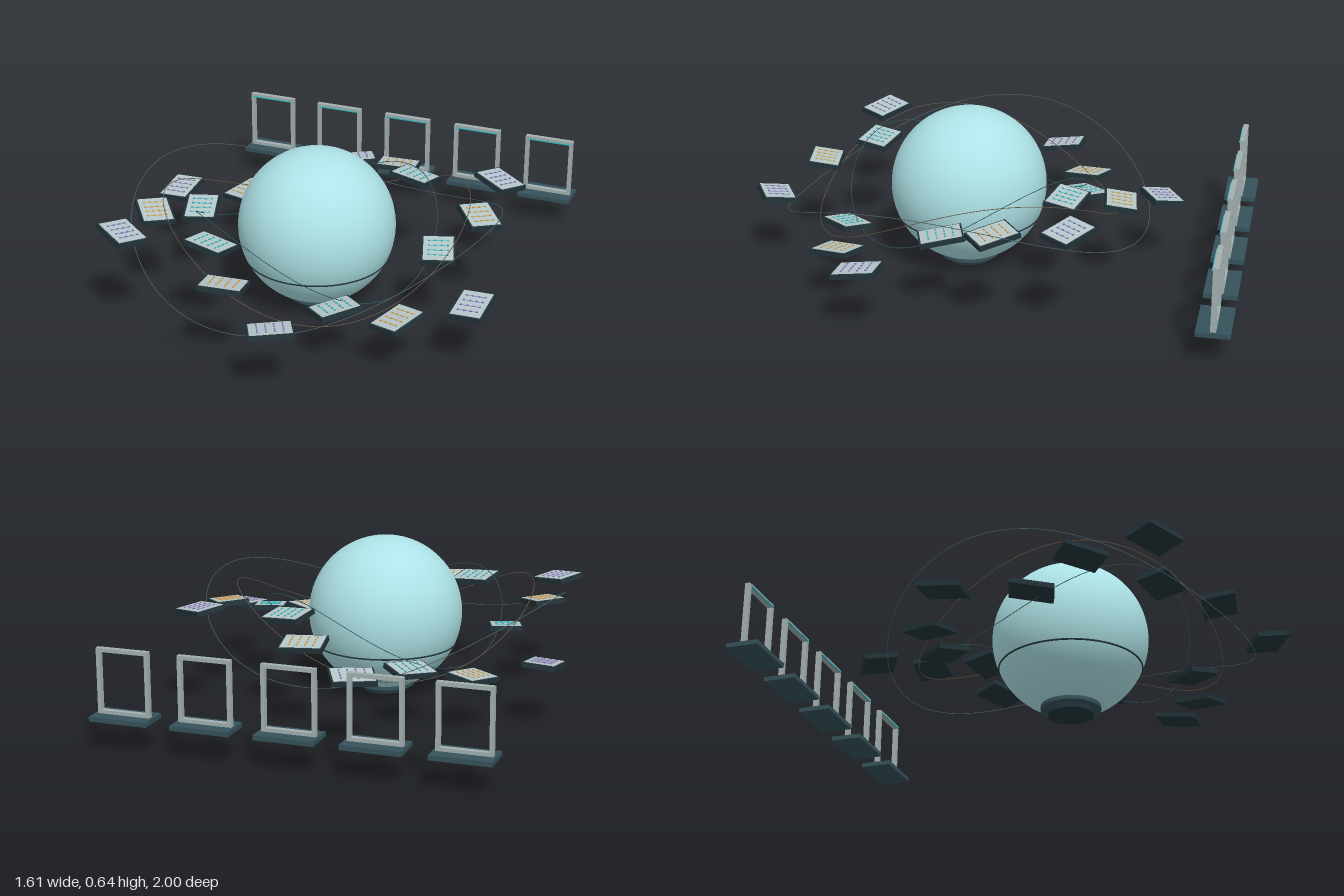
import * as THREE from 'three';

const CENTRE_Z = 0.125;
const rad = THREE.MathUtils.degToRad;
const mat = (color) => new THREE.MeshStandardMaterial({ color });

const dark = mat(0x22343a);
const slate = mat(0x35525a);
const metal = mat(0xa3b0b0);
const plate = mat(0xb4c6c8);
const glass = mat(0xade2e6);
const cyan = mat(0x2fb5bd);
const orange = mat(0xd79a3c);
const purple = mat(0x8a6fc0);

function add(parent, name, geometry, material, x = 0, y = 0, z = 0) {
  const mesh = new THREE.Mesh(geometry, material);
  mesh.name = name;
  mesh.position.set(x, y, z);
  parent.add(mesh);
  return mesh;
}

const box = (w, h, d) => new THREE.BoxGeometry(w, h, d);

// Central globe on a stepped foot, with a thin belt below its equator
function createGlobe() {
  const globe = new THREE.Group();
  globe.name = 'globe';
  add(globe, 'sphere', new THREE.SphereGeometry(0.314, 64, 40), glass, 0, 0.328, 0);
  add(globe, 'lowerFoot', new THREE.CylinderGeometry(0.092, 0.092, 0.018, 48), dark, 0, 0.009, 0);
  add(globe, 'upperFoot', new THREE.CylinderGeometry(0.12, 0.12, 0.016, 48), slate, 0, 0.03, 0);
  add(globe, 'belt', new THREE.TorusGeometry(0.287, 0.0035, 6, 96), dark, 0, 0.2, 0).rotation.x = Math.PI / 2;
  globe.position.z = CENTRE_Z;
  return globe;
}

// Thin orbit line, rising and dipping twice per turn
function createOrbit(radius, peak, material) {
  const points = [];
  for (let i = 0; i < 72; i++) {
    const a = (i / 72) * Math.PI * 2;
    const y = 0.33 + 0.13 * Math.cos(2 * (a - rad(peak)));
    points.push(new THREE.Vector3(radius * Math.cos(a), y, radius * Math.sin(a)));
  }
  const curve = new THREE.CatmullRomCurve3(points, true);
  const orbit = new THREE.Mesh(new THREE.TubeGeometry(curve, 180, 0.0015, 5, true), material);
  orbit.name = 'orbitLine';
  orbit.position.z = CENTRE_Z;
  return orbit;
}

// Floating tablet: dark tray, pale plate, rows of coloured marks
function createTablet(accent) {
  const tablet = new THREE.Group();
  tablet.name = 'tablet';
  add(tablet, 'tray', box(0.172, 0.02, 0.132), dark);
  add(tablet, 'plate', box(0.158, 0.006, 0.118), plate, 0, 0.009, 0);
  for (let row = 0; row < 4; row++) {
    const x = (row - 1.5) * 0.032;
    add(tablet, 'markLine', box(0.0015, 0.002, 0.08), accent, x, 0.0125, 0);
    for (let i = 0; i < 4; i++) {
      add(tablet, 'mark', box(0.006, 0.004, 0.007), accent, x, 0.0135, (i - 1.5) * 0.025);
    }
  }
  return tablet;
}

// Six tablets around the globe, following a double wave and leaning with it
function createTabletRing(radius, startAngle, accent) {
  const ring = new THREE.Group();
  ring.name = 'tabletRing';
  const up = new THREE.Vector3(0, 1, 0);
  for (let i = 0; i < 6; i++) {
    const angle = startAngle + i * 60;
    const a = rad(angle);
    const tablet = createTablet(accent);
    tablet.position.set(radius * Math.cos(a), 0.307 - 0.1 * Math.sin(2 * a), radius * Math.sin(a));
    const lean = rad(2 * angle - 108);
    const normal = new THREE.Vector3(-0.15 * Math.cos(lean), 1, -0.15 * Math.sin(lean)).normalize();
    const yaw = new THREE.Quaternion().setFromAxisAngle(up, -rad(angle + 72));
    tablet.quaternion.setFromUnitVectors(up, normal).multiply(yaw);
    ring.add(tablet);
  }
  ring.position.z = CENTRE_Z;
  return ring;
}

// Open rectangular gate on a dark plinth
function createGate(x) {
  const gate = new THREE.Group();
  gate.name = 'gate';
  add(gate, 'plinth', box(0.232, 0.018, 0.13), slate, 0, 0.121, 0);
  add(gate, 'sill', box(0.21, 0.014, 0.022), metal, 0, 0.137, 0);
  add(gate, 'lintel', box(0.21, 0.015, 0.022), metal, 0, 0.3745, 0);
  add(gate, 'lightStrip', box(0.19, 0.004, 0.006), cyan, 0, 0.369, 0.013);
  for (const side of [-1, 1]) {
    add(gate, 'post', box(0.015, 0.225, 0.022), metal, side * 0.0975, 0.255, 0);
  }
  gate.position.set(x, 0, -0.936);
  return gate;
}

export function createModel() {
  const model = new THREE.Group();
  model.name = 'orbitingTablets';
  model.add(createGlobe());

  model.add(createOrbit(0.477, -55, mat(0x2f5a60)));
  model.add(createOrbit(0.605, -24, mat(0x6b5a45)));
  model.add(createOrbit(0.733, 8, mat(0x4d6468)));

  model.add(createTabletRing(0.51, 0, cyan));
  model.add(createTabletRing(0.645, 40, orange));
  model.add(createTabletRing(0.784, 20, purple));

  for (let i = -2; i <= 2; i++) model.add(createGate(i * 0.328));
  return model;
}
